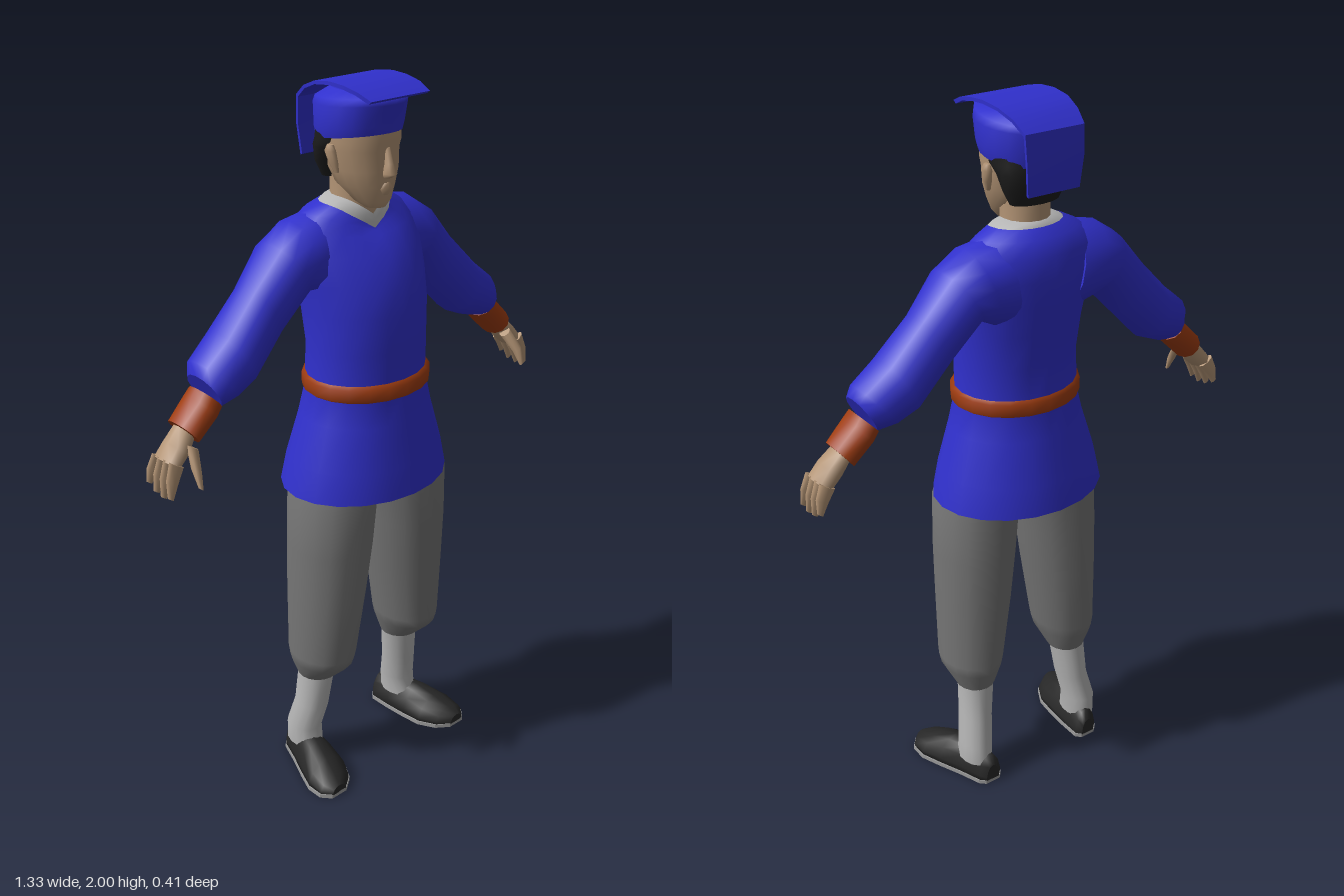
import * as THREE from 'three';
import { toCreasedNormals } from 'three/addons/utils/BufferGeometryUtils.js';

const makeMaterial = (name, color, open = false) => {
  const m = new THREE.MeshStandardMaterial({ color, side: open ? THREE.DoubleSide : THREE.FrontSide });
  m.name = name;
  return m;
};

// Skin a list of point rings; the winding is chosen so faces point outwards
function loft(rings, caps = true) {
  const n = rings[0].length, pos = [], idx = [];
  rings.forEach((r) => r.forEach((p) => pos.push(...p)));
  for (let j = 0; j + 1 < rings.length; j++) {
    for (let i = 0; i < n; i++) {
      const a = j * n + i, b = j * n + (i + 1) % n;
      idx.push(a, b, b + n, a, b + n, a + n);
    }
  }
  if (caps) {
    [rings[0], rings[rings.length - 1]].forEach((r, end) => {
      const base = pos.length / 3;
      r.forEach((p) => pos.push(...p));
      pos.push(...[0, 1, 2].map((k) => r.reduce((s, p) => s + p[k], 0) / n));
      for (let i = 0; i < n; i++) {
        const a = base + i, b = base + (i + 1) % n;
        if (end) idx.push(a, b, base + n); else idx.push(b, a, base + n);
      }
    });
  }
  const at = (i) => new THREE.Vector3().fromArray(pos, i * 3);
  const mid = new THREE.Vector3();
  for (let i = 0; i < pos.length / 3; i++) mid.add(at(i));
  mid.divideScalar(pos.length / 3);
  let volume = 0;
  for (let i = 0; i < idx.length; i += 3) {
    const [a, b, c] = [0, 1, 2].map((k) => at(idx[i + k]).sub(mid));
    volume += a.dot(b.cross(c));
  }
  if (volume < 0) idx.reverse();
  const g = new THREE.BufferGeometry();
  g.setAttribute('position', new THREE.Float32BufferAttribute(pos, 3));
  g.setIndex(idx);
  g.computeVertexNormals();
  return g;
}

const around = (n, f) => Array.from({ length: n }, (_, i) => {
  const t = (i / n) * Math.PI * 2;
  return f(Math.sin(t), Math.cos(t));
});

// Level ring: height, half width, front z, back z, centre x, V-shaped front dip, forward tilt
const level = (n = 16, side = 1) => ([y, rx, zf, zb, cx = 0, dip = 0, tilt = 0]) =>
  around(n, (s, c) => [
    side * (cx + rx * s),
    y + tilt * c - (c > 0 ? dip * (1 - Math.abs(s)) : 0),
    (zf + zb) / 2 + c * (zf - zb) / 2,
  ]);

// Limb ring: lower edge x y, upper edge x y, centre z, half depth
const limb = (n, side) => ([lx, ly, hx, hy, z, rz]) =>
  around(n, (s, c) => [side * ((lx + hx) / 2 + c * (hx - lx) / 2), (ly + hy) / 2 + c * (hy - ly) / 2, z + rz * s]);

// Foot ring: z, centre x, half width, bottom, top; domed with a flat base
const foot = (side) => ([z, cx, rx, y0, h]) =>
  around(14, (s, c) => [side * (cx + rx * s), y0 + (h - y0) * Math.max(0, c), z]);

export function createModel() {
  const mat = {
    cloth: makeMaterial('blue cloth', 0x3030cc, true),
    leather: makeMaterial('rust leather', 0x9e3c10),
    trousers: makeMaterial('grey trousers', 0x757575),
    linen: makeMaterial('pale linen', 0xb6b6b6, true),
    skin: makeMaterial('skin', 0xb39475),
    hair: makeMaterial('black hair', 0x1c1c1c),
    shoe: makeMaterial('dark shoe', 0x272727),
    sole: makeMaterial('light sole', 0x9c9c9c),
  };
  const model = new THREE.Group();
  model.name = 'figure';
  const add = (name, geometry, material) => {
    const mesh = new THREE.Mesh(geometry, material);
    mesh.name = name;
    model.add(mesh);
    return mesh;
  };

  // Tunic with flared skirt and V neck
  add('tunic', loft([
    [0.917, 0.25, 0.2, -0.205], [1.0, 0.232, 0.188, -0.19], [1.12, 0.195, 0.165, -0.16],
    [1.2, 0.175, 0.153, -0.145], [1.32, 0.172, 0.155, -0.14], [1.42, 0.177, 0.155, -0.157],
    [1.5, 0.185, 0.136, -0.17], [1.57, 0.198, 0.1, -0.173], [1.63, 0.195, 0.062, -0.165, 0, 0.02],
    [1.67, 0.15, 0.046, -0.142, 0, 0.05], [1.692, 0.105, 0.04, -0.115, 0, 0.067],
  ].map(level(20)), false), mat.cloth);
  add('collar', loft([
    [1.69, 0.106, 0.041, -0.116, 0, 0.066], [1.7, 0.085, 0.038, -0.11, 0, 0.055], [1.705, 0.062, 0.033, -0.1, 0, 0.045],
  ].map(level(20)), false), mat.linen);
  add('belt', loft([
    [1.188, 0.172, 0.152, -0.142], [1.197, 0.183, 0.167, -0.154],
    [1.23, 0.183, 0.167, -0.154], [1.241, 0.17, 0.15, -0.14],
  ].map(level(20))), mat.leather);

  // Neck, head and face
  add('neck', loft([[1.64, 0.07, 0.025, -0.1], [1.7, 0.064, 0.03, -0.102], [1.77, 0.066, 0.03, -0.1]].map(level())), mat.skin);
  add('head', loft([
    [1.683, 0.028, 0.068, 0.01], [1.7, 0.048, 0.079, -0.03], [1.74, 0.073, 0.084, -0.08],
    [1.78, 0.088, 0.088, -0.1], [1.83, 0.096, 0.086, -0.115], [1.85, 0.098, 0.093, -0.118], [1.9, 0.1, 0.09, -0.12],
  ].map(level(18))), mat.skin);
  add('nose', loft([[1.764, 0.013, 0.098, 0.06], [1.775, 0.017, 0.116, 0.06], [1.8, 0.012, 0.104, 0.06], [1.84, 0.009, 0.091, 0.06]].map(level(8))), mat.skin);
  add('mouth', loft([[1.718, 0.014, 0.083, 0.05], [1.735, 0.024, 0.092, 0.05], [1.75, 0.014, 0.088, 0.05]].map(level(8))), mat.skin);
  add('hair', loft([
    [1.75, 0.072, -0.04, -0.112], [1.79, 0.093, -0.03, -0.122], [1.83, 0.101, 0, -0.13],
    [1.85, 0.103, 0.04, -0.131], [1.89, 0.104, 0.065, -0.13],
  ].map(level(18))), mat.hair);

  // Cap: band with shallow crown, and a cloth strip arching over it and hanging behind
  add('capBand', loft([
    [1.86, 0.104, 0.095, -0.135, 0, 0, 0.016], [1.885, 0.11, 0.1, -0.14, 0, 0, 0.012],
    [1.94, 0.111, 0.112, -0.145, 0, 0, 0.008], [1.957, 0.1, 0.122, -0.145, 0, 0, 0.012],
    [1.972, 0.06, 0.06, -0.1],
  ].map(level(20))), mat.cloth);
  const strip = [
    [0.13, 1.97, 0.098], [0.09, 1.987, 0.105], [0.04, 1.997, 0.107], [-0.01, 2.0, 0.107], [-0.07, 1.993, 0.104],
    [-0.12, 1.974, 0.096], [-0.158, 1.945, 0.088], [-0.163, 1.87, 0.085], [-0.157, 1.79, 0.078],
  ].map(([z, y, w]) => {
    const zi = -0.04 + (z + 0.04) * 0.94, yi = 1.85 + (y - 1.85) * 0.94;
    return [[-w, y, z], [w, y, z], [w, yi, zi], [-w, yi, zi]];
  });
  add('capStrip', toCreasedNormals(loft(strip), 0.7), mat.cloth);

  for (const side of [1, -1]) {
    const label = (part) => (side > 0 ? 'left' : 'right') + part;

    add(label('Ear'), loft([
      [1.775, 0.006, 0.002, -0.012, 0.09], [1.8, 0.011, 0.004, -0.025, 0.095],
      [1.83, 0.013, 0.002, -0.034, 0.1], [1.845, 0.007, -0.006, -0.026, 0.1],
    ].map(level(8, side))), mat.skin);

    // Sleeve and wrist cuff
    add(label('Sleeve'), loft([
      [0.08, 1.44, 0.12, 1.675, -0.06, 0.1], [0.14, 1.45, 0.2, 1.66, -0.06, 0.105],
      [0.18, 1.475, 0.268, 1.615, -0.06, 0.098], [0.27, 1.382, 0.35, 1.522, -0.06, 0.082],
      [0.37, 1.282, 0.445, 1.425, -0.055, 0.09], [0.425, 1.258, 0.515, 1.368, -0.05, 0.083],
      [0.478, 1.245, 0.525, 1.338, -0.043, 0.063],
    ].map(limb(14, side))), mat.cloth);
    add(label('Cuff'), loft([
      [0.47, 1.245, 0.525, 1.305, -0.045, 0.056], [0.49, 1.222, 0.542, 1.284, -0.045, 0.06],
      [0.545, 1.17, 0.595, 1.233, -0.045, 0.055],
    ].map(limb(12, side))), mat.leather);

    // Hand
    const hand = limb(8, side);
    add(label('Palm'), loft([
      [0.545, 1.192, 0.58, 1.228, -0.045, 0.034], [0.575, 1.15, 0.622, 1.188, -0.04, 0.043],
      [0.606, 1.122, 0.65, 1.153, -0.04, 0.046],
    ].map(hand)), mat.skin);
    for (let i = 0; i < 4; i++) {
      const z = -0.075 + 0.024 * i, spread = (i - 1.5) * 0.003, d = [0.02, 0.005, 0, 0.006][i];
      add(label('Finger'), loft([
        [0.605, 1.13, 0.648, 1.156, z, 0.012], [0.628, 1.09 + d / 2, 0.663, 1.108 + d / 2, z + spread, 0.011],
        [0.648, 1.05 + d, 0.664, 1.06 + d, z + spread * 2, 0.006],
      ].map(hand)), mat.skin);
    }
    add(label('Thumb'), loft([
      [0.56, 1.165, 0.59, 1.185, -0.005, 0.016], [0.578, 1.12, 0.604, 1.136, 0.03, 0.014],
      [0.588, 1.08, 0.601, 1.09, 0.05, 0.006],
    ].map(hand)), mat.skin);

    // Baggy trouser leg gathered below the knee, stocking and slipper
    add(label('TrouserLeg'), loft([
      [1.04, 0.11, 0.13, -0.125, 0.095], [0.9, 0.117, 0.145, -0.12, 0.131], [0.75, 0.113, 0.138, -0.118, 0.141],
      [0.6, 0.104, 0.126, -0.115, 0.151], [0.4, 0.089, 0.108, -0.107, 0.166],
      [0.37, 0.083, 0.098, -0.103, 0.167], [0.31, 0.056, 0.036, -0.082, 0.166],
    ].map(level(16, side))), mat.trousers);
    add(label('Stocking'), loft([
      [0.33, 0.052, 0.032, -0.08, 0.166], [0.2, 0.046, 0.018, -0.092, 0.178],
      [0.12, 0.047, 0.0, -0.112, 0.192], [0.06, 0.045, 0.01, -0.115, 0.193],
    ].map(level(14, side))), mat.linen);
    const slipper = [
      [-0.13, 0.18, 0.022, 0.01, 0.06], [-0.115, 0.181, 0.037, 0.01, 0.09], [-0.05, 0.193, 0.049, 0.01, 0.1],
      [0.02, 0.21, 0.062, 0.01, 0.093], [0.08, 0.225, 0.07, 0.01, 0.073],
      [0.13, 0.238, 0.056, 0.01, 0.052], [0.158, 0.245, 0.025, 0.01, 0.034],
    ];
    add(label('Shoe'), loft(slipper.map(foot(side))), mat.shoe);
    add(label('Sole'), loft(slipper.map(([z, cx, rx]) => {
      const w = rx + 0.002, x0 = side * (cx - w), x1 = side * (cx + w);
      return [[x0, 0, z], [x1, 0, z], [x1, 0.012, z], [x0, 0.012, z]];
    })).toNonIndexed(), mat.sole).geometry.computeVertexNormals();
  }
  return model;
}
